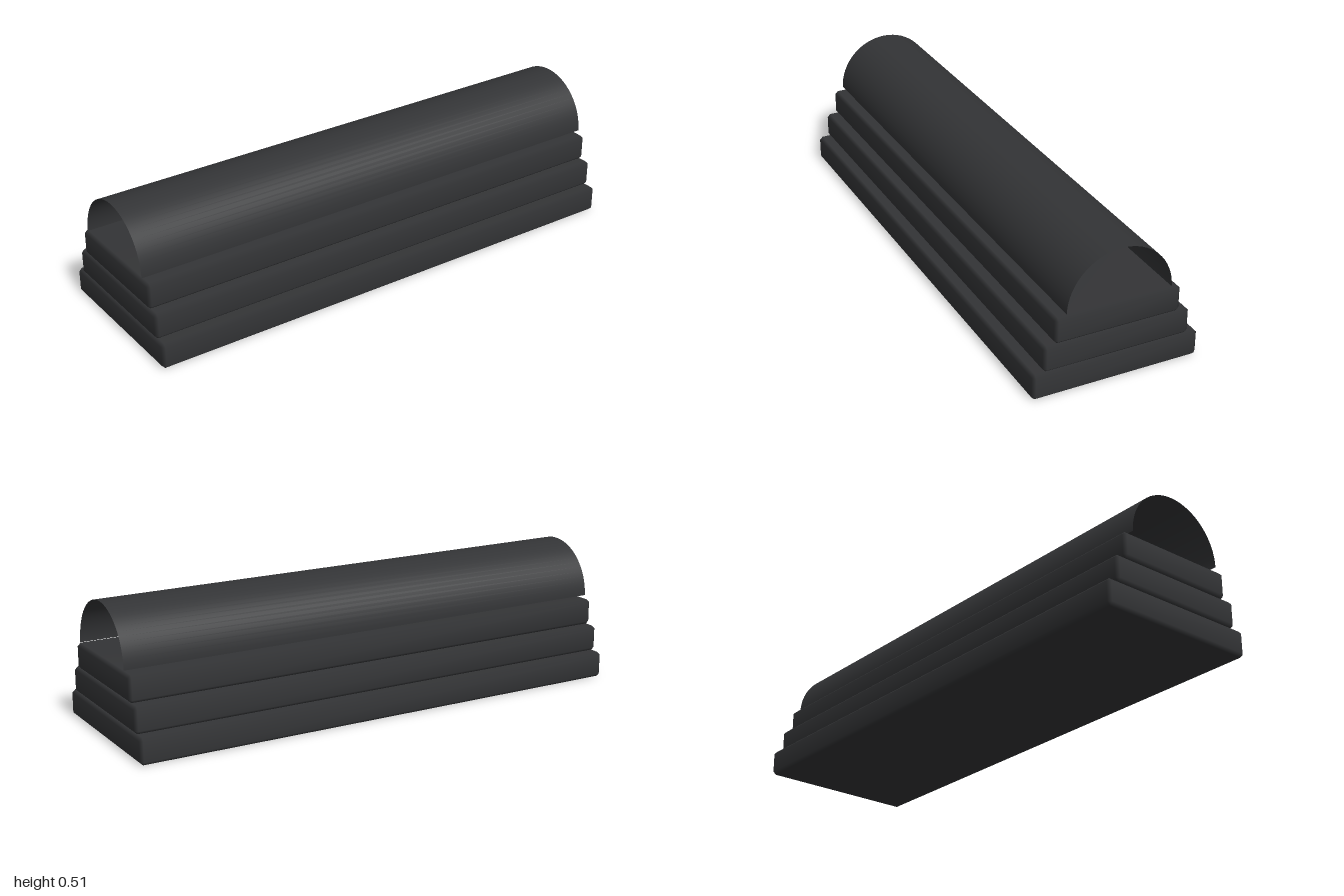
import * as THREE from 'three';
import { mergeVertices } from 'three/addons/utils/BufferGeometryUtils.js';
import { ConvexGeometry } from 'three/addons/geometries/ConvexGeometry.js';

const LENGTH = 2;

// Box with every edge chamfered and smooth normals across the chamfers
function chamferedBox(w, h, d, c) {
  const points = [];
  for (const sx of [-1, 1]) for (const sy of [-1, 1]) for (const sz of [-1, 1]) {
    const x = w / 2, y = h / 2, z = d / 2;
    points.push(
      new THREE.Vector3(sx * x, sy * (y - c), sz * (z - c)),
      new THREE.Vector3(sx * (x - c), sy * y, sz * (z - c)),
      new THREE.Vector3(sx * (x - c), sy * (y - c), sz * z),
    );
  }
  const hull = new ConvexGeometry(points);
  hull.deleteAttribute('normal');
  const geometry = mergeVertices(hull);
  geometry.computeVertexNormals();
  return geometry;
}

export function createModel() {
  const model = new THREE.Group();
  model.name = 'archedSteps';
  const dark = new THREE.MeshStandardMaterial({ color: 0x333436 });
  const darkSheet = new THREE.MeshStandardMaterial({ color: 0x333436, side: THREE.DoubleSide });

  // Three stacked slabs, each narrower than the one below
  ['lowerSlab', 'middleSlab', 'upperSlab'].forEach((name, i) => {
    const slab = new THREE.Mesh(chamferedBox(LENGTH, 0.1, 0.64 - 0.08 * i, 0.012), dark);
    slab.name = name;
    slab.position.y = 0.05 + 0.1 * i;
    model.add(slab);
  });

  // Thin open half-cylinder just above the top slab
  const arch = new THREE.CylinderGeometry(0.2, 0.2, LENGTH, 32, 1, true, 0, Math.PI);
  arch.rotateZ(Math.PI / 2);
  const cover = new THREE.Mesh(arch, darkSheet);
  cover.name = 'archedCover';
  cover.position.y = 0.31;
  model.add(cover);

  return model;
}
